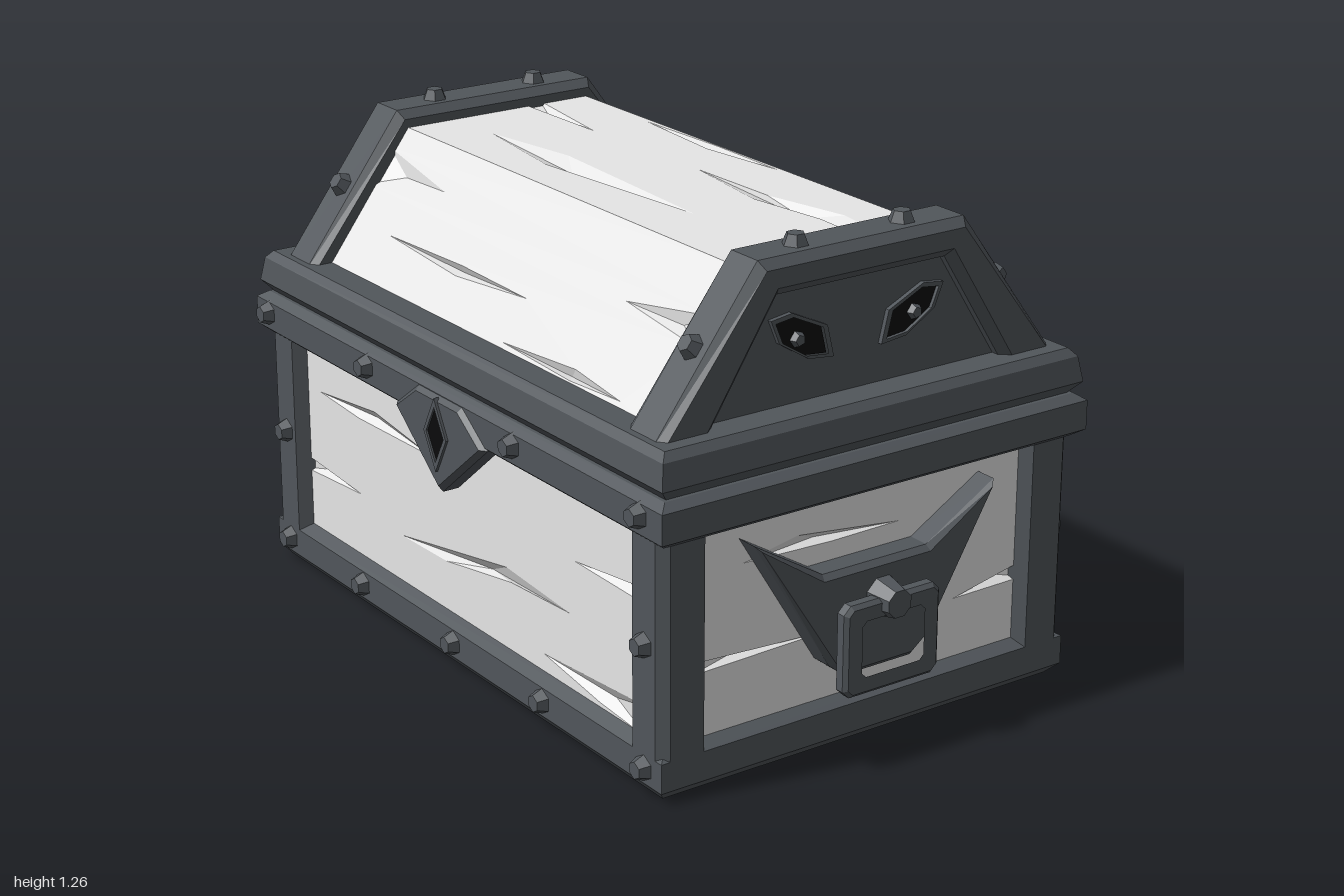
import * as THREE from 'three';

const iron = new THREE.MeshStandardMaterial({ color: 0x51565b });
iron.name = 'dark iron';
const wood = new THREE.MeshStandardMaterial({ color: 0xe6e6e6 });
wood.name = 'pale wood';
const black = new THREE.MeshStandardMaterial({ color: 0x0b0b0c });
black.name = 'black';

// Faceted mesh with one normal per face
function add(parent, name, geometry, material = iron) {
  const g = geometry.index ? geometry.toNonIndexed() : geometry;
  g.computeVertexNormals();
  const mesh = new THREE.Mesh(g, material);
  mesh.name = name;
  parent.add(mesh);
  return mesh;
}

const vec = (points) => points.map(([x, y]) => new THREE.Vector2(x, y));

// Bevelled plate lying between from and to on its extrusion axis
function plate(points, from, to, bevel = 0, hole = null) {
  const shape = new THREE.Shape(vec(points));
  if (hole) shape.holes.push(new THREE.Path(vec(hole)));
  const g = new THREE.ExtrudeGeometry(shape, {
    depth: to - from - 2 * bevel, bevelEnabled: bevel > 0, bevelSegments: 1,
    bevelSize: bevel, bevelThickness: bevel, bevelOffset: -bevel,
  });
  return g.translate(0, 0, from + bevel);
}

// Plate drawn in (z, y) and thickened along x
const sidePlate = (points, from, to, bevel, hole) =>
  plate(points.map(([z, y]) => [-z, y]), from, to, bevel, hole && hole.map(([z, y]) => [-z, y]))
    .rotateY(Math.PI / 2);

// Stack of rectangular sections [y, halfX, halfZ], capped at both ends
function rectStack(sections) {
  const pos = [], idx = [];
  for (const [y, a, b] of sections) pos.push(-a, y, b, a, y, b, a, y, -b, -a, y, -b);
  const top = (sections.length - 1) * 4;
  for (let s = 0; s < top; s += 4) {
    for (let i = 0; i < 4; i++) {
      const j = (i + 1) % 4;
      idx.push(s + i, s + j, s + 4 + j, s + i, s + 4 + j, s + 4 + i);
    }
  }
  idx.push(0, 2, 1, 0, 3, 2, top, top + 1, top + 2, top, top + 2, top + 3);
  const g = new THREE.BufferGeometry();
  g.setAttribute('position', new THREE.Float32BufferAttribute(pos, 3));
  g.setIndex(idx);
  return g;
}

// Wooden panel facing +z with sunken splinter cracks
function woodPanel(parent, name, x, y0, y1, cracks) {
  const panel = new THREE.Group();
  panel.name = name;
  const shape = new THREE.Shape(vec([[-x, y0], [x, y0], [x, y1], [-x, y1]]));
  const pos = [];
  for (const crack of cracks) {
    const p = vec(crack);
    if (THREE.ShapeUtils.isClockWise(p)) p.reverse();
    shape.holes.push(new THREE.Path(p));
    const c = p.reduce((s, v) => s.add(v), new THREE.Vector2()).divideScalar(p.length);
    p.forEach((a, i) => {
      const b = p[(i + 1) % p.length];
      pos.push(a.x, a.y, 0, b.x, b.y, 0, c.x, c.y, -0.022);
    });
  }
  add(panel, 'boards', new THREE.ShapeGeometry(shape), wood);
  const g = new THREE.BufferGeometry();
  g.setAttribute('position', new THREE.Float32BufferAttribute(pos, 3));
  add(panel, 'cracks', g, wood);
  parent.add(panel);
  return panel;
}

// Six-sided tapered rivet pointing along a direction
function rivet(parent, x, y, z, dx, dy, dz) {
  const m = add(parent, 'rivet', new THREE.CylinderGeometry(0.022, 0.036, 0.034, 6).translate(0, 0.01, 0));
  m.position.set(x, y, z);
  m.quaternion.setFromUnitVectors(new THREE.Vector3(0, 1, 0), new THREE.Vector3(dx, dy, dz).normalize());
}

// Long face: body panel, lid slope and rivets
function buildFace(name) {
  const face = new THREE.Group();
  face.name = name;
  woodPanel(face, 'bodyPanel', 0.82, 0.08, 0.67, [
    [[-0.7, 0.52], [-0.5, 0.508], [-0.14, 0.517], [-0.42, 0.55]],
    [[0.5, 0.46], [0.8, 0.455], [0.8, 0.495]],
    [[-0.3, 0.25], [-0.08, 0.255], [0.22, 0.305], [0.48, 0.318], [0.2, 0.338]],
    [[-0.8, 0.275], [-0.5, 0.296], [-0.8, 0.315]],
    [[0.36, 0.17], [0.6, 0.135], [0.8, 0.12], [0.8, 0.2]],
  ]).position.z = 0.575;
  const slope = woodPanel(face, 'lidSlope', 0.76, -0.215, 0.206, [
    [[-0.74, 0.03], [-0.42, 0.09], [-0.74, 0.14]],
    [[0.44, 0.03], [0.74, 0.0], [0.74, 0.08]],
    [[-0.54, -0.07], [-0.2, -0.09], [0.1, -0.065], [-0.2, -0.06]],
    [[0.1, -0.185], [0.4, -0.195], [0.6, -0.185], [0.4, -0.165]],
  ]);
  slope.position.set(0, 1.025, 0.4025);
  slope.rotation.x = -Math.atan2(0.245, 0.33);
  for (const x of [-0.83, -0.445, 0, 0.405, 0.83]) rivet(face, x, 0.07, 0.61, 0, 0, 1);
  for (const x of [-0.83, 0.83]) rivet(face, x, 0.38, 0.61, 0, 0, 1);
  for (const x of [-0.78, 0.78]) {
    rivet(face, x, 1.045, 0.442, 0, 0.28, 0.375);
    rivet(face, x, 1.235, 0.155, 0, 1, 0);
  }
  return face;
}

// Short end: panel, horned plaque with ring handle, lid arch and eyes
function buildEnd(name) {
  const end = new THREE.Group();
  end.name = name;
  const panel = woodPanel(end, 'endPanel', 0.53, 0.08, 0.67, [
    [[-0.36, 0.53], [-0.1, 0.522], [0.1, 0.525], [-0.2, 0.56]],
    [[-0.51, 0.285], [-0.12, 0.295], [-0.51, 0.315]],
    [[0.28, 0.278], [0.51, 0.28], [0.51, 0.325]],
  ]);
  panel.position.x = 0.865;
  panel.rotation.y = Math.PI / 2;

  add(end, 'hornedPlaque', sidePlate([[0.37, 0.595], [0.17, 0.475], [-0.14, 0.475], [-0.345, 0.595],
    [-0.145, 0.235], [-0.1, 0.2], [0.1, 0.2], [0.145, 0.235]], 0.85, 0.935, 0.014));
  add(end, 'handleBoss', new THREE.CylinderGeometry(0.036, 0.054, 0.08, 8)
    .rotateY(Math.PI / 8).rotateZ(-Math.PI / 2).translate(0.96, 0.385, 0));
  const ring = (w, y0, y1, c) => [[-w, y0 + c], [-w + c, y0], [w - c, y0], [w, y0 + c],
    [w, y1 - c], [w - c, y1], [-w + c, y1], [-w, y1 - c]];
  add(end, 'ringHandle', sidePlate(ring(0.143, 0.165, 0.4, 0.02), 0.937, 0.98, 0.01,
    ring(0.103, 0.202, 0.365, 0.018)));

  add(end, 'lidArch', sidePlate([[0.595, 0.84], [0.3, 1.235], [-0.3, 1.235], [-0.595, 0.84],
    [-0.44, 0.84], [-0.245, 1.145], [0.245, 1.145], [0.44, 0.84]], 0.71, 0.852, 0.022));
  add(end, 'lidEndPlate', sidePlate([[0.46, 0.84], [0.26, 1.17], [-0.26, 1.17], [-0.46, 0.84]], 0.74, 0.81));
  const outline = [[0.085, 0.06], [0.025, 0.068], [-0.078, 0.02], [-0.098, -0.06], [-0.025, -0.052], [0.06, 0]];
  for (const s of [-1, 1]) {
    const eye = (k) => outline.map(([z, y]) => [s * (0.168 + z * k), 1.02 + y * k]);
    add(end, 'eyeRim', sidePlate(eye(1), 0.8, 0.822, 0, eye(0.84)));
    add(end, 'eye', sidePlate(eye(0.84), 0.808, 0.813), black);
    add(end, 'pupil', new THREE.CylinderGeometry(0.014, 0.023, 0.02, 5)
      .rotateZ(-Math.PI / 2).translate(0.818, 1.02, s * 0.172));
  }
  return end;
}

export function createModel() {
  const chest = new THREE.Group();
  chest.name = 'treasureChest';

  // Iron base, rims and corner posts
  add(chest, 'basePlinth', rectStack([[0, 0.87, 0.585], [0.03, 0.9, 0.61], [0.105, 0.9, 0.61], [0.125, 0.862, 0.572]]));
  add(chest, 'bodyRim', rectStack([[0.64, 0.9, 0.605], [0.66, 0.93, 0.63], [0.735, 0.93, 0.63], [0.752, 0.905, 0.605]]));
  add(chest, 'lidRim', rectStack([[0.752, 0.895, 0.595], [0.782, 0.92, 0.622], [0.845, 0.908, 0.612], [0.865, 0.89, 0.595]]));
  for (const sx of [-1, 1]) for (const sz of [-1, 1]) {
    const section = [[0.9, 0.585], [0.875, 0.61], [0.785, 0.61], [0.76, 0.565], [0.76, 0.465],
      [0.85, 0.465], [0.9, 0.49]].map(([x, z]) => [sx * x, sz * z]);
    add(chest, 'cornerPost', plate(section, -0.65, -0.03).rotateX(Math.PI / 2));
  }

  // Front and back
  const front = buildFace('frontFace');
  const back = buildFace('backFace');
  back.rotation.y = Math.PI;
  for (const x of [-0.865, -0.355, 0.32, 0.84]) rivet(front, x, 0.705, 0.63, 0, 0, 1);
  for (const x of [-0.84, 0, 0.84]) rivet(back, x, 0.705, 0.63, 0, 0, 1);
  for (const x of [-0.42, 0.42]) {
    add(back, 'hinge', new THREE.BoxGeometry(0.19, 0.085, 0.06).translate(x, 0.742, 0.623));
  }
  chest.add(front, back);

  // Lock plate with diamond keyhole
  const diamond = (w, h) => [[-w, 0.635], [0, 0.635 - h], [w, 0.635], [0, 0.635 + h]];
  add(front, 'lockPlate', plate([[-0.21, 0.655], [-0.1, 0.735], [0.1, 0.735], [0.21, 0.655], [0, 0.482]], 0.57, 0.642, 0.014));
  add(front, 'keyholeRim', plate(diamond(0.052, 0.096), 0.635, 0.649, 0, diamond(0.04, 0.072)));
  add(front, 'keyhole', plate(diamond(0.04, 0.072), 0.638, 0.644), black);

  // Flat lid top
  const top = woodPanel(chest, 'lidTop', 0.76, -0.28, 0.28, [
    [[0.04, 0.11], [0.32, 0.07], [0.55, 0.1], [0.74, 0.09], [0.74, 0.14], [0.56, 0.165], [0.32, 0.115]],
    [[-0.74, 0.095], [-0.41, 0.1], [-0.74, 0.15]],
    [[-0.54, -0.13], [-0.22, -0.175], [0.34, -0.12], [-0.25, -0.085]],
    [[-0.4, 0.265], [-0.1, 0.24], [0.16, 0.27], [-0.1, 0.275]],
  ]);
  top.position.y = 1.19;
  top.rotation.x = -Math.PI / 2;

  // Ends
  const left = buildEnd('leftEnd');
  const right = buildEnd('rightEnd');
  right.rotation.y = Math.PI;
  chest.add(left, right);
  return chest;
}
